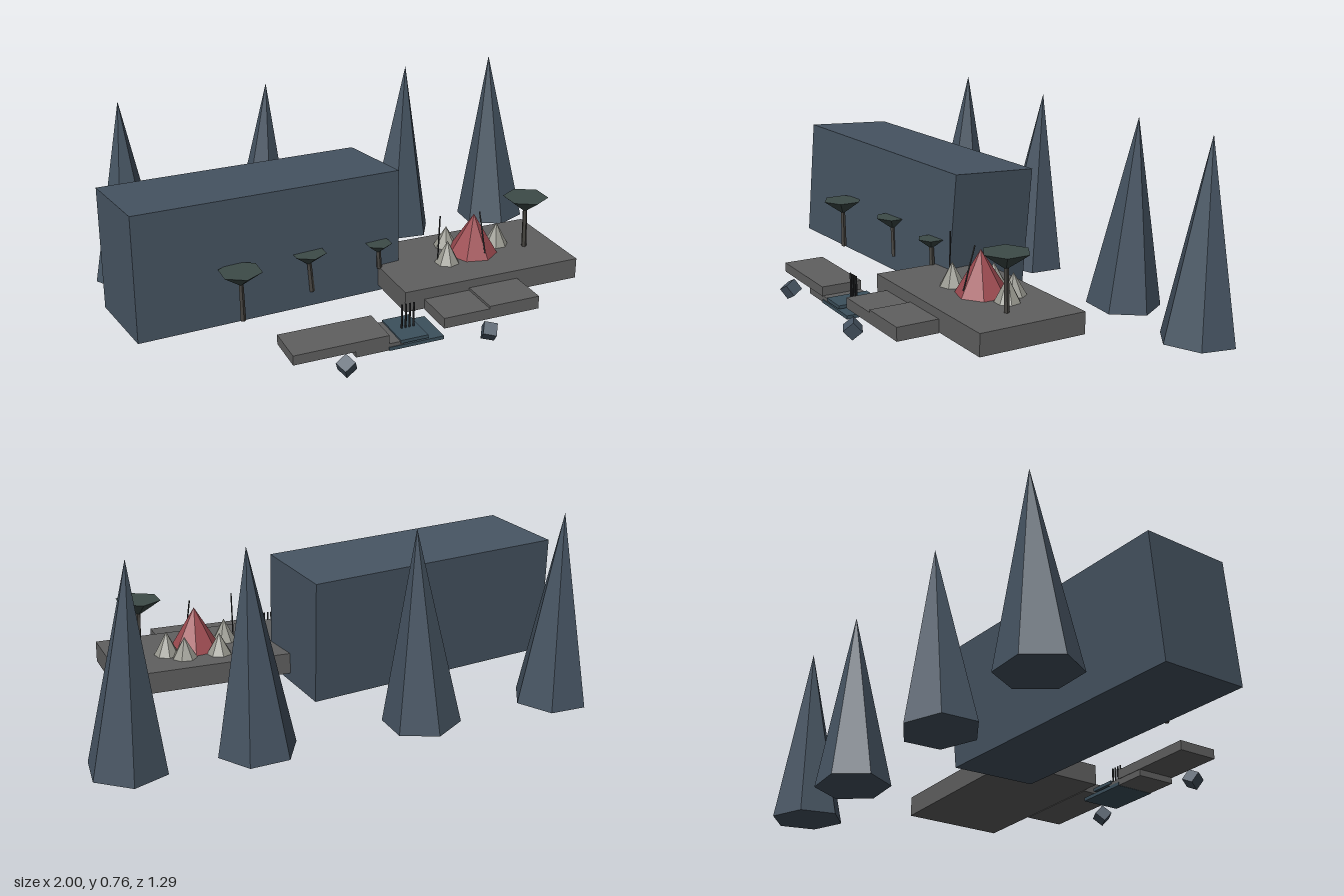
import * as THREE from 'three';

const mat = (color) => new THREE.MeshStandardMaterial({ color, flatShading: true });
const SLATE = mat(0x465462), STONE = mat(0x606060), WATER = mat(0x3c505c), LEAF = mat(0x3d4b48);
const BARK = mat(0x45433f), RED = mat(0x9c4a50), CANVAS = mat(0x999990), DARK = mat(0x2c2e30);
const UP = new THREE.Vector3(0, 1, 0);

export function createModel() {
  const model = new THREE.Group();

  function add(name, geometry, material, x, y, z) {
    const mesh = new THREE.Mesh(geometry, material);
    mesh.name = name;
    mesh.position.set(x, y, z);
    model.add(mesh);
    return mesh;
  }
  // Box given by its limits on each axis
  function block(name, material, x0, x1, y0, y1, z0, z1) {
    return add(name, new THREE.BoxGeometry(x1 - x0, y1 - y0, z1 - z0), material,
      (x0 + x1) / 2, (y0 + y1) / 2, (z0 + z1) / 2);
  }
  // Tapered prism between two points, spun about its own axis
  function spar(name, material, from, to, r0, r1, sides, spin = 0) {
    const a = new THREE.Vector3(...from), b = new THREE.Vector3(...to);
    const dir = b.clone().sub(a), mid = a.add(b).multiplyScalar(0.5);
    const geometry = new THREE.CylinderGeometry(r1, r0, dir.length(), sides).rotateY(spin);
    const mesh = add(name, geometry, material, mid.x, mid.y, mid.z);
    mesh.quaternion.setFromUnitVectors(UP, dir.normalize());
    return mesh;
  }

  // Leaning cliff block
  add('cliff', new THREE.BoxGeometry(1.08, 0.48, 0.375), SLATE, -0.44, 0.31, -0.015)
    .rotation.set(-0.067, 0.107, -0.025);

  // Row of tall peaks: base x, base z, apex x, spin
  for (const [x, z, apexX, spin] of [
    [-0.82, -0.485, -0.815, Math.PI / 6],
    [-0.25, -0.495, -0.2, 0],
    [0.40, -0.5, 0.437, Math.PI / 6],
    [0.86, -0.475, 0.846, -0.1],
  ]) spar('peak', SLATE, [x, 0.013, z], [apexX, 0.76, -0.515], 0.147, 0, 6, spin);

  // Camp platform
  block('platform', STONE, 0.02, 0.77, 0.09, 0.173, -0.04, 0.387);

  // Stepped path that dips to a crossing in the middle
  block('leftPath', STONE, -0.49, -0.12, 0.07, 0.108, 0.388, 0.553);
  block('leftStep', STONE, -0.25, -0.06, 0.045, 0.072, 0.39, 0.55);
  block('crossingBase', WATER, -0.12, 0.1, 0.044, 0.058, 0.388, 0.553);
  block('crossing', WATER, -0.075, 0.035, 0.065, 0.078, 0.386, 0.555);
  block('rightStep', STONE, 0.1, 0.29, 0.088, 0.13, 0.388, 0.553);
  block('rightPath', STONE, 0.29, 0.5, 0.088, 0.14, 0.388, 0.553);

  // Thin posts on the crossing
  for (let i = 0; i < 4; i++) {
    const x = -0.034 + i * 0.016;
    spar('post', DARK, [x, 0.07, 0.472], [x, 0.175, 0.472], 0.004, 0.004, 5);
  }

  // Loose rocks
  for (const [x, y, turn] of [[-0.31, 0.055, 0.4], [0.26, 0.07, 1.1]])
    add('rock', new THREE.BoxGeometry(0.05, 0.05, 0.05), SLATE, x, y, 0.605).rotation.set(0.4, turn, 0.35);

  // Flat-topped trees: x, z, top height, canopy radius, trunk foot x and height
  for (const [x, z, top, r, footX, footY] of [
    [-0.575, 0.25, 0.317, 0.083, -0.572, 0.115],
    [-0.28, 0.165, 0.3, 0.07, -0.268, 0.135],
    [0.015, 0.148, 0.278, 0.055, 0.02, 0.17],
    [0.635, 0.2, 0.39, 0.09, 0.64, 0.17],
  ]) {
    const depth = r * 0.65;
    spar('trunk', BARK, [footX, footY, z], [x, top - depth * 0.6, z], 0.011, 0.009, 5);
    spar('canopy', LEAF, [x, top - depth, z], [x, top, z], 0.008, r, 6);
  }

  // Main tent and the small tents around it
  spar('mainTent', RED, [0.42, 0.172, 0.165], [0.42, 0.34, 0.17], 0.102, 0, 7, 0.2);
  for (const [x, z, h] of [[0.35, 0.07, 0.085], [0.49, 0.075, 0.085], [0.545, 0.135, 0.095], [0.285, 0.21, 0.092]])
    spar('smallTent', CANVAS, [x, 0.172, z], [x, 0.172 + h, z], 0.05, 0, 7, x * 9);

  // Slender poles of the camp
  spar('flagPole', DARK, [0.248, 0.172, 0.2], [0.254, 0.37, 0.2], 0.003, 0.003, 5);
  spar('tentPole', DARK, [0.432, 0.2, 0.25], [0.428, 0.36, 0.2], 0.003, 0.003, 5);

  return model;
}
